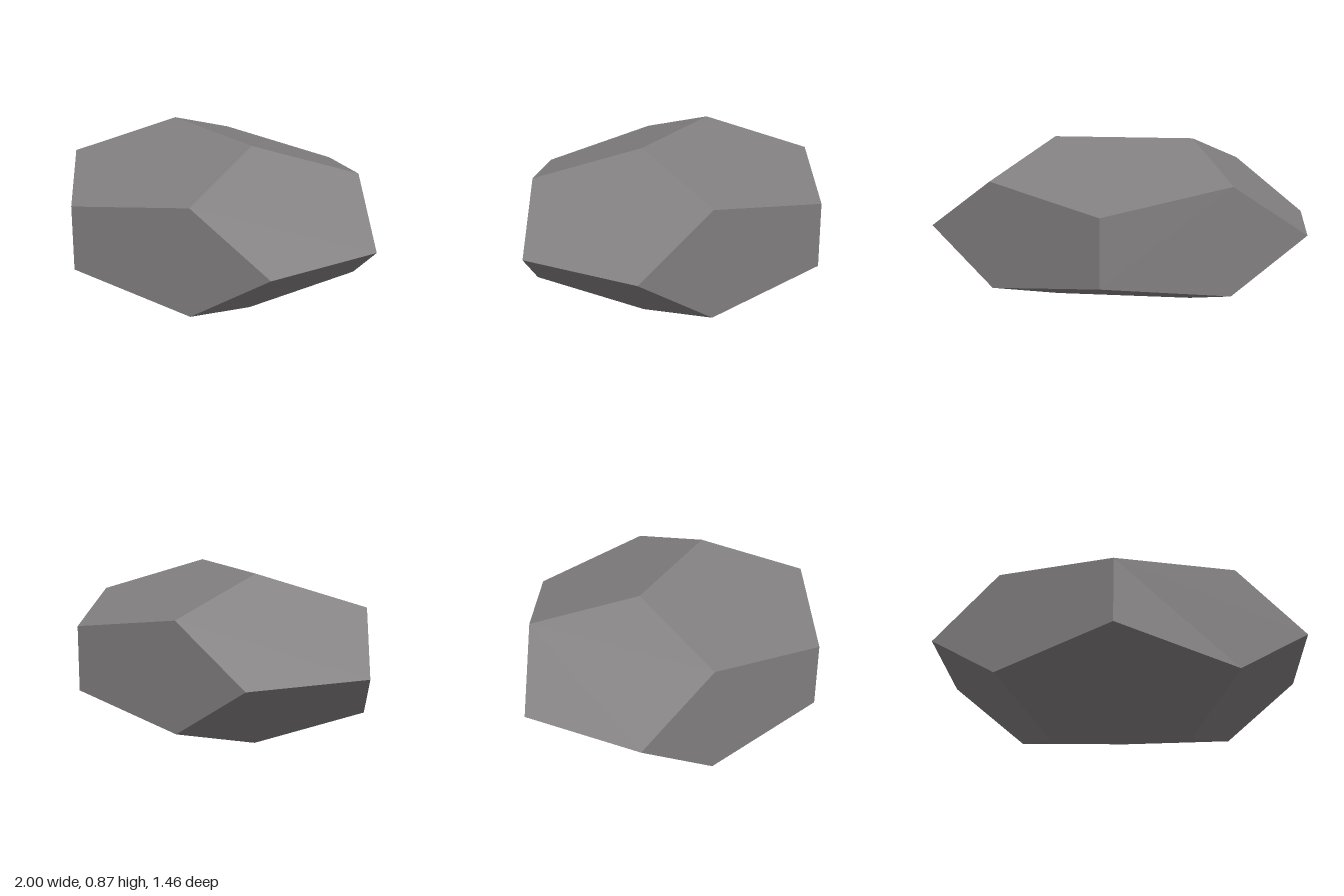
import * as THREE from 'three';

export function createModel() {
  const group = new THREE.Group();
  group.name = 'stone';

  const stoneGrey = new THREE.MeshStandardMaterial({ color: 0x827f80 });
  stoneGrey.name = 'stoneGrey';

  // Twelve-sided stone: a dodecahedron turned about y, stretched along x and flattened
  const geometry = new THREE.DodecahedronGeometry(Math.sqrt(3), 0);
  geometry.applyMatrix4(new THREE.Matrix4().set(
    0.533, 0, -0.2225, 0,
    0, 0.2695, 0, 0.44,
    0.259, 0, 0.451, 0,
    0, 0, 0, 1
  ));
  geometry.computeVertexNormals(); // unshared corners keep every facet flat

  const body = new THREE.Mesh(geometry, stoneGrey);
  body.name = 'facetedBody';
  group.add(body);
  return group;
}
